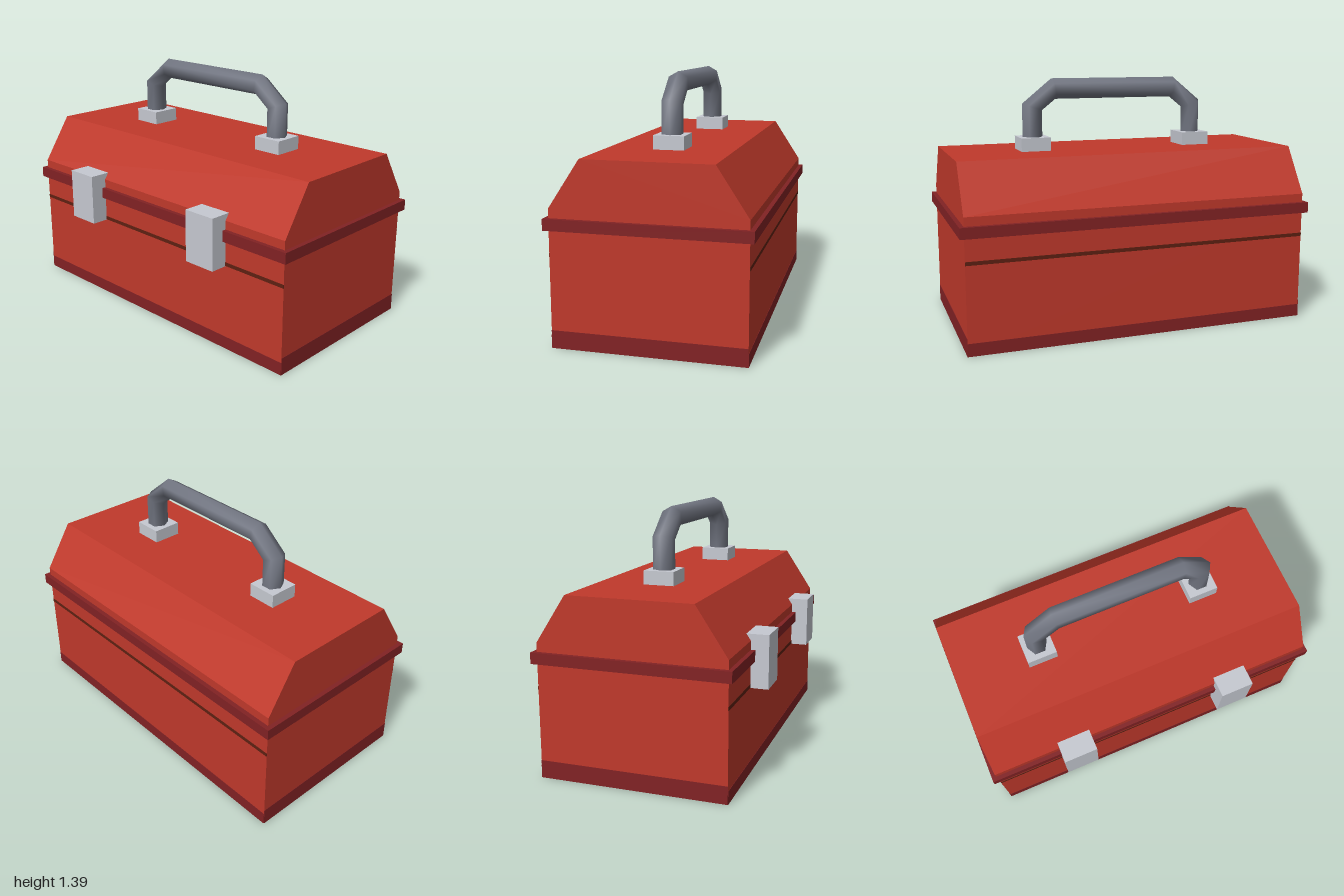
import * as THREE from 'three';

const mat = (name, color, side = THREE.FrontSide) => {
  const m = new THREE.MeshStandardMaterial({ color, side });
  m.name = name;
  return m;
};

export function createModel() {
  const red = mat('red', 0xc0392b);
  const darkRed = mat('darkRed', 0x822224);
  const seamBrown = mat('seamBrown', 0x5e2012);
  const steel = mat('steel', 0xc6c9d1);
  const gripGrey = mat('gripGrey', 0x737783, THREE.DoubleSide);

  const group = new THREE.Group();
  group.name = 'toolbox';
  const ZC = -0.035; // middle of the box in depth

  const add = (name, geometry, material) => {
    const mesh = new THREE.Mesh(geometry, material);
    mesh.name = name;
    group.add(mesh);
    return mesh;
  };
  // box given by its limits on each axis
  const box = (name, material, [x0, x1], [y0, y1], [z0, z1]) =>
    add(name, new THREE.BoxGeometry(x1 - x0, y1 - y0, z1 - z0), material)
      .position.set((x0 + x1) / 2, (y0 + y1) / 2, (z0 + z1) / 2);

  // lower box and overhanging rim
  const HX = 0.975, Z0 = -0.546, Z1 = 0.477, T = 0.002;
  box('body', red, [-HX, HX], [0, 0.64], [Z0, Z1]);
  box('rim', darkRed, [-1, 1], [0.625, 0.685], [-0.571, 0.501]);

  // painted base bands and seam lines
  for (const [side, z] of [['front', Z1], ['back', Z0]]) {
    box(side + 'BaseBand', darkRed, [-HX, HX], [0, 0.07], [z - T, z + T]);
    box(side + 'Seam', seamBrown, [-HX, HX], [0.483, 0.503], [z - T, z + T]);
  }
  for (const [side, x] of [['left', HX], ['right', -HX]])
    box(side + 'BaseBand', darkRed, [x - T, x + T], [0, 0.096], [Z0, Z1]);

  // lid: bevelled profile extruded along x (shape x runs towards -z)
  const profile = new THREE.Shape([
    [-Z1, 0.67], [-Z0, 0.67], [-Z0, 0.733], [0.378, 0.99], [-0.307, 0.99], [-Z1, 0.733],
  ].map(([x, y]) => new THREE.Vector2(x, y)));
  const lid = new THREE.ExtrudeGeometry(profile, { depth: 2 * HX, bevelEnabled: false });
  lid.translate(0, 0, -HX).rotateY(Math.PI / 2);
  add('lid', lid, red);

  // latches and handle brackets
  for (const [side, s] of [['left', 1], ['right', -1]]) {
    const lx = s * 0.488, bx = s * 0.488;
    box(side + 'Latch', steel, [lx - 0.097, lx + 0.097], [0.48, 0.77], [0.45, 0.574]);
    box(side + 'HandleBracket', steel, [bx - 0.084, bx + 0.084], [0.98, 1.065], [ZC - 0.085, ZC + 0.085]);
  }

  // handle: six-sided tube with mitred bends, [outerX, outerY, innerX, innerY]
  const half = [
    [0.546, 1.03, 0.431, 1.03],
    [0.546, 1.252, 0.431, 1.212],
    [0.375, 1.391, 0.352, 1.275],
  ];
  const mirrored = half.map(([a, b, c, d]) => [-a, b, -c, d]).reverse();
  const rings = [...half, ...mirrored];
  const SIDES = 6, R = 0.061, verts = [], index = [];
  rings.forEach(([ox, oy, ix, iy], i) => {
    for (let k = 0; k < SIDES; k++) {
      const a = (k / SIDES) * Math.PI * 2, c = Math.cos(a);
      verts.push(
        (ox + ix) / 2 + ((ox - ix) / 2) * c,
        (oy + iy) / 2 + ((oy - iy) / 2) * c,
        ZC + R * Math.sin(a));
      if (i === rings.length - 1) continue;
      const p = i * SIDES + k, q = i * SIDES + ((k + 1) % SIDES);
      index.push(p, p + SIDES, q, q, p + SIDES, q + SIDES);
    }
  });
  const handle = new THREE.BufferGeometry();
  handle.setAttribute('position', new THREE.Float32BufferAttribute(verts, 3));
  handle.setIndex(index);
  handle.computeVertexNormals();
  add('handle', handle, gripGrey);

  return group;
}
